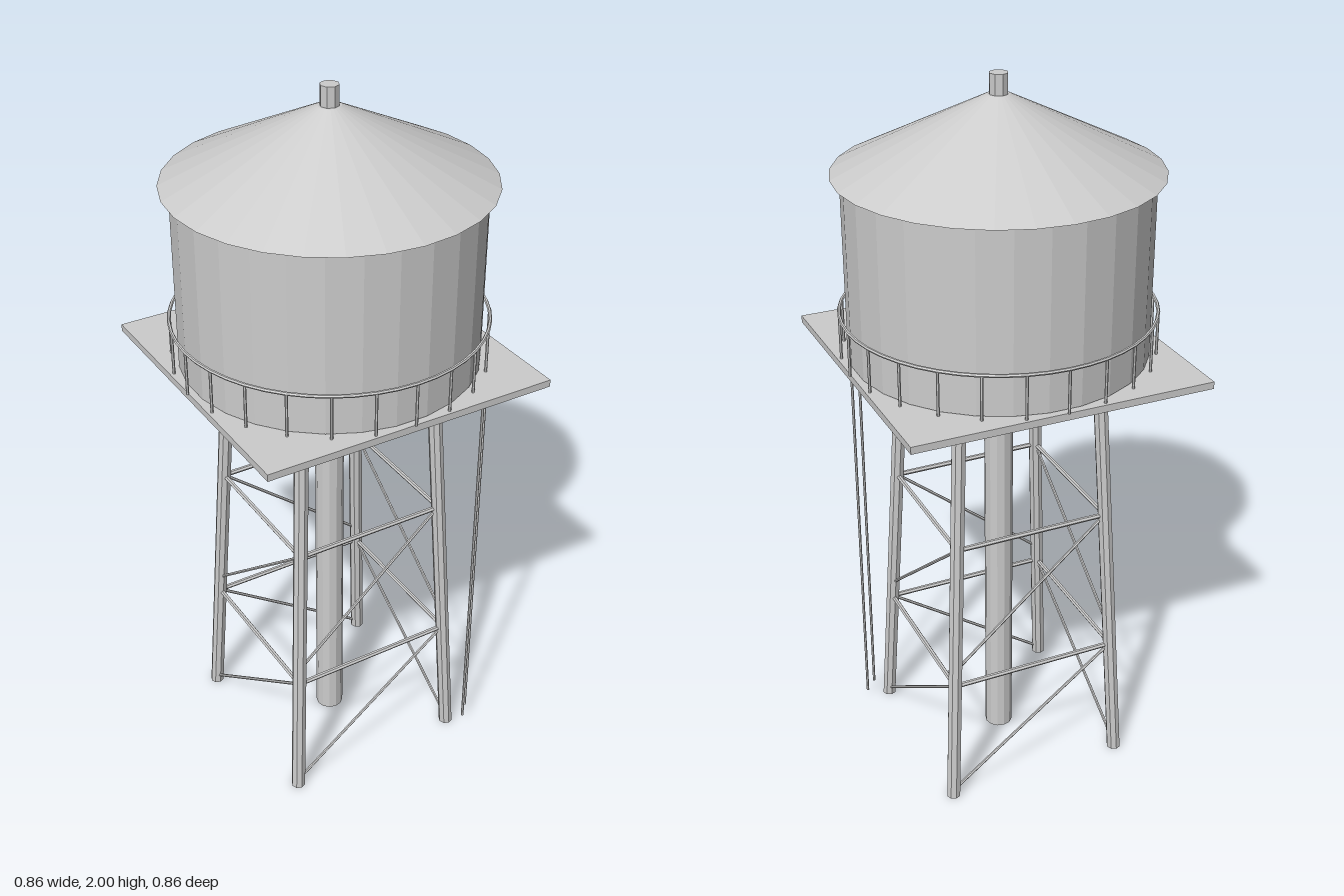
import * as THREE from 'three';

export function createModel() {
  const model = new THREE.Group();
  const steel = new THREE.MeshStandardMaterial({ color: 0xcccccc, flatShading: true });
  steel.name = 'galvanised grey';

  const add = (name, geometry, parent = model) => {
    const mesh = new THREE.Mesh(geometry, steel);
    mesh.name = name;
    parent.add(mesh);
    return mesh;
  };
  const group = (name) => {
    const g = new THREE.Group();
    g.name = name;
    model.add(g);
    return g;
  };
  // Upright faceted drum between two heights
  const drum = (name, rBottom, rTop, y0, y1, sides, start = 0) => {
    const g = new THREE.CylinderGeometry(rTop, rBottom, y1 - y0, sides, 1, false, start);
    return add(name, g.translate(0, (y0 + y1) / 2, 0));
  };
  // Round bar between two points
  const bar = (name, a, b, radius, parent, sides = 6) => {
    const dir = b.clone().sub(a);
    const mesh = add(name, new THREE.CylinderGeometry(radius, radius, dir.length(), sides), parent);
    mesh.position.copy(a).add(b).multiplyScalar(0.5);
    mesh.quaternion.setFromUnitVectors(new THREE.Vector3(0, 1, 0), dir.normalize());
    return mesh;
  };

  // Tank, roof and vent
  drum('tank', 0.402, 0.402, 1.26, 1.752, 28, Math.PI / 28);
  drum('roof', 0.428, 0.03, 1.752, 1.947, 28);
  drum('roofVent', 0.025, 0.025, 1.94, 2.0, 8);

  // Platform and central riser pipe
  add('platform', new THREE.BoxGeometry(0.834, 0.02, 0.834).translate(0, 1.248, 0));
  drum('riserPipe', 0.04, 0.04, 0, 1.24, 12);

  // Circular railing
  const railing = group('railing');
  const railR = 0.42;
  add('handrail', new THREE.TorusGeometry(railR, 0.005, 6, 48).rotateX(Math.PI / 2), railing)
    .position.y = 1.38;
  for (let i = 0; i < 24; i++) {
    const a = (i / 24) * Math.PI * 2;
    const x = railR * Math.sin(a), z = railR * Math.cos(a);
    bar('railPost', new THREE.Vector3(x, 1.258, z), new THREE.Vector3(x, 1.38, z), 0.004, railing);
  }

  // Four sides of the stand: a leaning leg, cross beams and single diagonals each
  const H = 1.24, foot = 0.26, top = 0.2;
  const spread = (y) => foot + (top - foot) * (y / H);
  const at = (sx, y) => new THREE.Vector3(sx * spread(y), y, spread(y));
  const lean = (top - foot) / H;
  for (let i = 0; i < 4; i++) {
    const side = group('standSide');
    side.rotation.y = (i * Math.PI) / 2;
    const leg = new THREE.CylinderGeometry(0.02, 0.02, H, 8).translate(0, H / 2, 0);
    leg.applyMatrix4(new THREE.Matrix4().makeShear(0, 0, lean, lean, 0, 0));
    add('leg', leg.translate(foot, 0, foot), side);
    for (const [low, high] of [[0.015, 0.37], [0.42, 0.80]]) {
      bar('crossBeam', at(-1, high), at(1, high), 0.007, side);
      bar('diagonalBrace', at(-1, low), at(1, high), 0.0045, side);
    }
  }

  // Ladder rails beside one corner leg
  const ladder = group('ladder');
  for (const [x, z] of [[0.297, 0.296], [0.331, 0.26]])
    bar('ladderRail', new THREE.Vector3(x, 0.028, z), new THREE.Vector3(x, 1.24, z), 0.004, ladder);

  return model;
}
